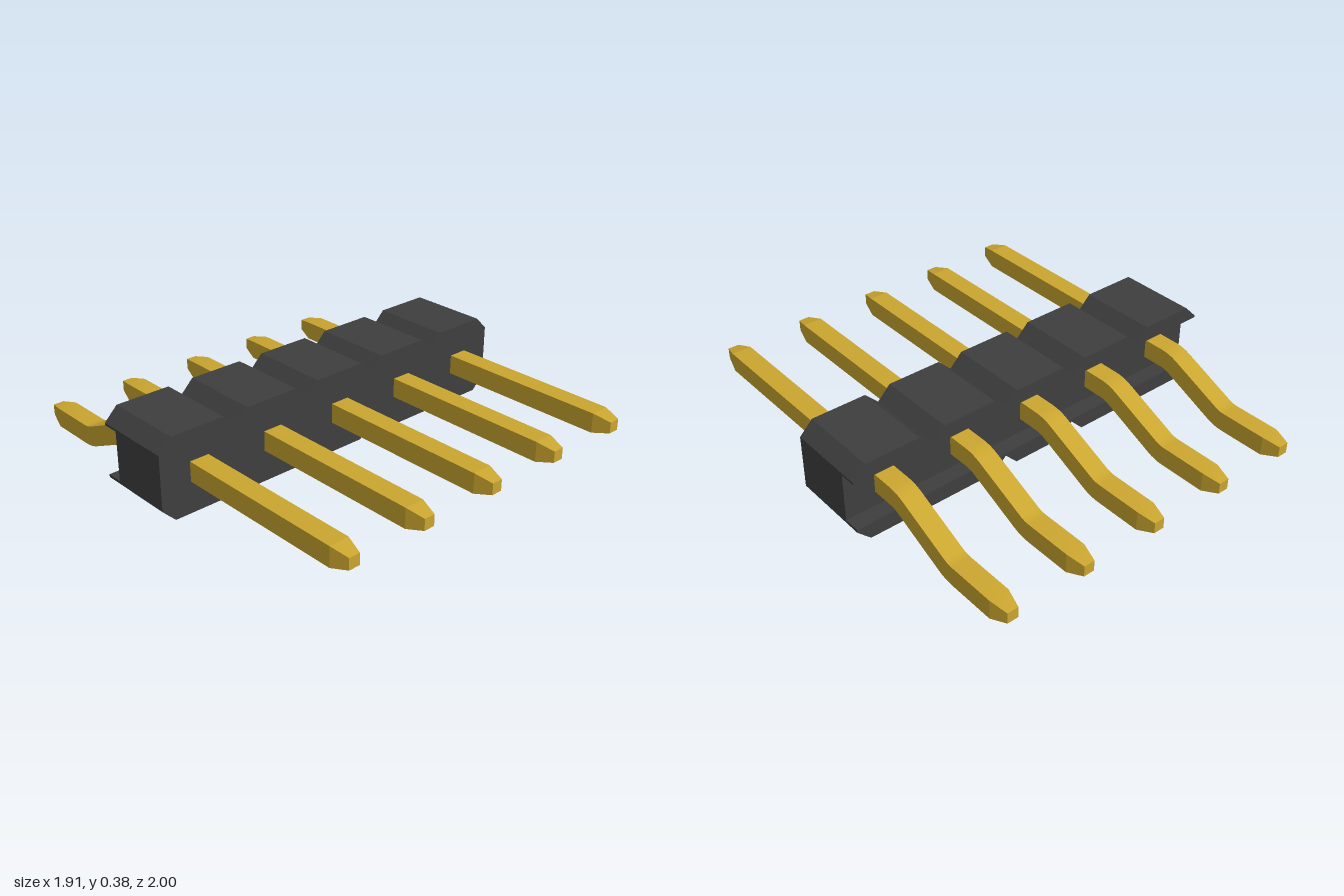
import * as THREE from 'three';
import { toCreasedNormals } from 'three/addons/utils/BufferGeometryUtils.js';

const PITCH = 0.382, COUNT = 5, HALF = 0.955, HEIGHT = 0.377, CUT = 0.062;
const TOP_NOTCHES = [-1.5, -0.5, 0.5, 1.5].map((i) => i * PITCH);
const BOTTOM_NOTCHES = [-0.5, 0.5].map((i) => i * PITCH);

// Housing outline between two heights, with V notches and chamfered ends
function housingShape(y0, y1) {
  const pts = [];
  if (y0 === 0) {
    pts.push([-HALF, CUT], [-HALF + CUT, 0]);
    for (const x of BOTTOM_NOTCHES) pts.push([x - CUT, 0], [x, CUT], [x + CUT, 0]);
    pts.push([HALF - CUT, 0], [HALF, CUT]);
  } else {
    pts.push([-HALF, y0], [HALF, y0]);
  }
  if (y1 === HEIGHT) {
    pts.push([HALF, HEIGHT - CUT], [HALF - CUT, HEIGHT]);
    for (const x of [...TOP_NOTCHES].reverse()) {
      pts.push([x + CUT, HEIGHT], [x, HEIGHT - CUT], [x - CUT, HEIGHT]);
    }
    pts.push([-HALF + CUT, HEIGHT], [-HALF, HEIGHT - CUT]);
  } else {
    pts.push([HALF, y1], [-HALF, y1]);
  }
  return new THREE.Shape(pts.map(([x, y]) => new THREE.Vector2(x, y)));
}

function housingPart(name, y0, y1, back, front, material) {
  const geometry = new THREE.ExtrudeGeometry(housingShape(y0, y1), { depth: front - back, bevelEnabled: false });
  geometry.translate(0, 0, back);
  const mesh = new THREE.Mesh(geometry, material);
  mesh.name = name;
  return mesh;
}

// Square pin swept from front to back through two soft bends
function pinGeometry() {
  const h = 0.046, tip = 0.026, high = 0.191, low = 0.047, slope = 0.42, soft = 0.035;
  const zA = -0.34, zB = zA - (high - low) / Math.tan(slope);
  // Each station: z, y, downward tilt, half thickness
  const stations = [[1, high, 0, tip], [0.92, high, 0, h]];
  const bend = (z, y, a0, a1) => {
    const p0 = [z + soft * Math.cos(a0), y + soft * Math.sin(a0)];
    const p2 = [z - soft * Math.cos(a1), y - soft * Math.sin(a1)];
    for (let i = 0; i <= 4; i++) {
      const t = i / 4, u = 1 - t;
      stations.push([
        u * u * p0[0] + 2 * u * t * z + t * t * p2[0],
        u * u * p0[1] + 2 * u * t * y + t * t * p2[1],
        a0 + (a1 - a0) * t, h]);
    }
  };
  bend(zA, high, 0, slope);
  bend(zB, low, slope, 0);
  stations.push([-0.92, low, 0, h], [-1, low + 0.004, 0, tip]);

  const position = [], index = [];
  for (const [z, y, a, r] of stations) {
    for (const [sx, sy] of [[-1, -1], [1, -1], [1, 1], [-1, 1]]) {
      position.push(sx * r, y + sy * r * Math.cos(a), z - sy * r * Math.sin(a));
    }
  }
  const last = (stations.length - 1) * 4;
  for (let s = 0; s < last; s += 4) {
    for (let k = 0; k < 4; k++) {
      const a = s + k, b = s + (k + 1) % 4;
      index.push(a, a + 4, b, b, a + 4, b + 4);
    }
  }
  index.push(0, 1, 2, 0, 2, 3, last, last + 2, last + 1, last, last + 3, last + 2);
  const geometry = new THREE.BufferGeometry();
  geometry.setAttribute('position', new THREE.Float32BufferAttribute(position, 3));
  geometry.setIndex(index);
  return toCreasedNormals(geometry, 0.2);
}

export function createModel() {
  const plastic = new THREE.MeshStandardMaterial({ color: 0x3e3e3e });
  plastic.name = 'black plastic';
  const gold = new THREE.MeshStandardMaterial({ color: 0xcaa52f });
  gold.name = 'gold plating';

  const model = new THREE.Group();
  model.name = 'pinHeader';

  // Insulating housing with a lip along the top and bottom of its back
  const housing = new THREE.Group();
  housing.name = 'housing';
  housing.add(
    housingPart('body', 0, HEIGHT, -0.2, 0.1, plastic),
    housingPart('topLip', 0.305, HEIGHT, -0.277, -0.2, plastic),
    housingPart('bottomLip', 0, 0.075, -0.277, -0.2, plastic));
  model.add(housing);

  // Row of bent pins
  const pins = new THREE.Group();
  pins.name = 'pins';
  const geometry = pinGeometry();
  for (let i = 0; i < COUNT; i++) {
    const pin = new THREE.Mesh(geometry, gold);
    pin.name = `pin${i + 1}`;
    pin.position.x = (i - (COUNT - 1) / 2) * PITCH;
    pins.add(pin);
  }
  model.add(pins);
  return model;
}
